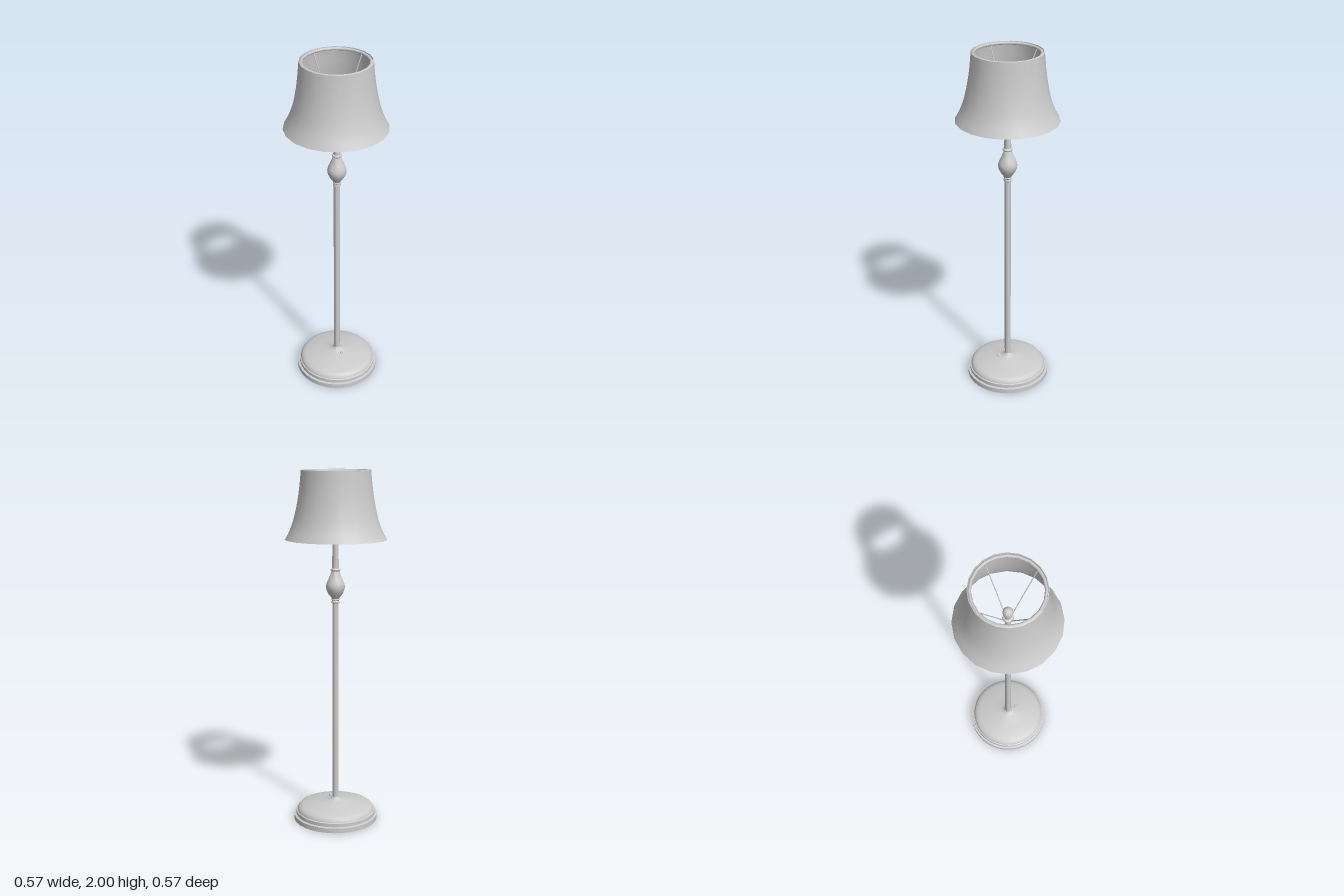
import * as THREE from 'three';
import { toCreasedNormals } from 'three/addons/utils/BufferGeometryUtils.js';

const CX = 0.003, CZ = 0.002; // axis of the stand

const material = new THREE.MeshStandardMaterial({ color: 0xcccccc, side: THREE.DoubleSide });

function add(group, name, geometry, x = 0, y = 0, z = 0) {
  const mesh = new THREE.Mesh(geometry, material);
  mesh.name = name;
  mesh.position.set(x, y, z);
  group.add(mesh);
  return mesh;
}

// Turned part from [radius, height] pairs, smooth except at sharp edges
function turned(points, sides) {
  const profile = points.map(([r, y]) => new THREE.Vector2(r, y));
  return toCreasedNormals(new THREE.LatheGeometry(profile, sides), 0.65);
}

// Straight round bar between two points
function bar(a, b, radius) {
  return new THREE.TubeGeometry(new THREE.LineCurve3(a, b), 1, radius, 8);
}

export function createModel() {
  const lamp = new THREE.Group();
  lamp.name = 'floorLamp';

  // Stepped base, hollow underneath
  add(lamp, 'base', turned([
    [0.222, 0.03], [0.228, 0], [0.242, 0], [0.242, 0.027], [0.229, 0.03], [0.229, 0.05],
    [0.222, 0.053], [0.219, 0.064], [0.21, 0.074], [0.19, 0.082], [0.12, 0.096],
    [0.05, 0.108], [0.028, 0.114], [0.021, 0.122], [0.018, 0.128],
  ], 32), CX, 0, CZ);

  // Foot switch
  add(lamp, 'footSwitch', turned([
    [0.005, 0.095], [0.005, 0.11], [0.009, 0.112], [0.009, 0.118], [0.006, 0.122], [0, 0.123],
  ], 12), -0.009, 0, 0.058);

  // Main pole
  add(lamp, 'pole', turned([[0.018, 0.1], [0.018, 1.27]], 20), CX, 0, CZ);

  // Turned ornament with collars
  add(lamp, 'turnedOrnament', turned([
    [0.018, 1.268], [0.022, 1.271], [0.022, 1.28], [0.019, 1.284], [0.022, 1.289],
    [0.02, 1.295], [0.026, 1.305], [0.039, 1.322], [0.05, 1.345], [0.053, 1.365],
    [0.049, 1.382], [0.039, 1.405], [0.028, 1.43], [0.022, 1.449], [0.027, 1.453],
    [0.028, 1.458], [0.025, 1.463], [0.02, 1.465],
  ], 24), CX, 0, CZ);

  // Tapered upper stem
  add(lamp, 'upperStem', turned([[0.02, 1.463], [0.0155, 1.61], [0.0155, 1.66]], 20), CX, 0, CZ);

  // Socket collar and bulb
  add(lamp, 'socket', turned([
    [0.015, 1.65], [0.027, 1.654], [0.029, 1.66], [0.027, 1.668], [0.018, 1.672], [0.018, 1.69],
  ], 20), CX, 0, CZ);
  add(lamp, 'bulb', turned([
    [0.017, 1.685], [0.022, 1.7], [0.027, 1.722], [0.026, 1.735], [0.021, 1.748], [0.012, 1.757], [0, 1.76],
  ], 20), CX, 0, CZ);

  // Four shade supports running from the socket to the top rim
  const supports = new THREE.Group();
  supports.name = 'shadeSupports';
  lamp.add(supports);
  for (let i = 0; i < 4; i++) {
    const a = i * Math.PI / 2, c = Math.cos(a), s = Math.sin(a);
    add(supports, 'shadeSupport', bar(
      new THREE.Vector3(CX + 0.025 * c, 1.662, CZ + 0.025 * s),
      new THREE.Vector3(0.177 * c, 1.985, 0.177 * s), 0.0028));
  }

  // Flared shade, a thin shell
  const flare = [
    [0.283, 1.625], [0.262, 1.662], [0.245, 1.702], [0.231, 1.745],
    [0.218, 1.8], [0.207, 1.86], [0.199, 1.92], [0.193, 1.985],
  ];
  const inside = flare.map(([r, y]) => [r - 0.004, y]).reverse();
  add(lamp, 'shade', turned([...flare, [0.192, 1.998], [0.188, 2], [0.187, 1.996], ...inside, flare[0]], 20));

  // Rolled rim inside the shade top
  const rim = new THREE.TorusGeometry(0.1795, 0.0085, 8, 20);
  rim.rotateX(Math.PI / 2);
  add(lamp, 'shadeRim', rim, 0, 1.99, 0);

  return lamp;
}
